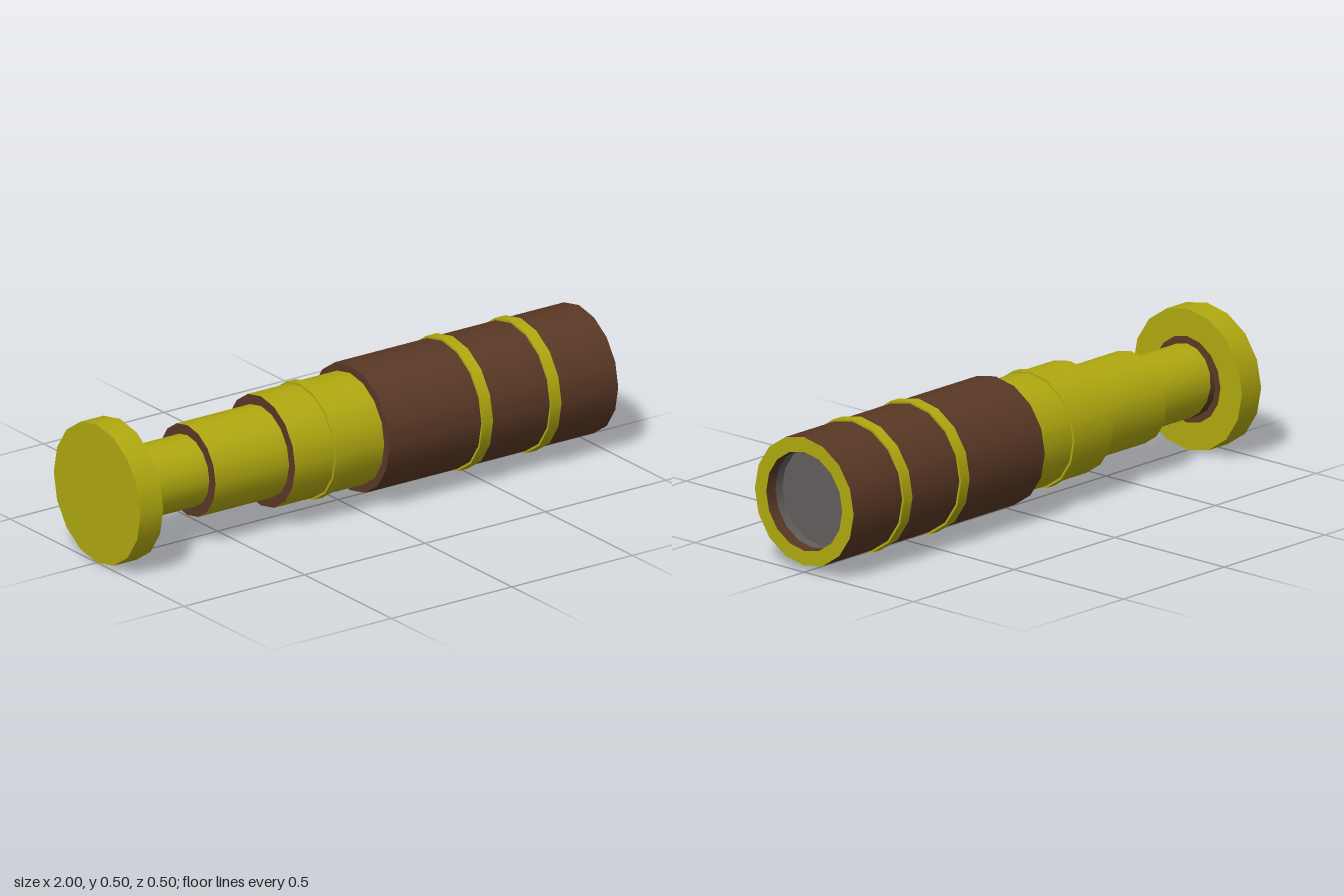
import * as THREE from 'three';

const SIDES = 16;
const AXIS_Y = 0.249;

function material(name, color) {
  const m = new THREE.MeshStandardMaterial({ color, side: THREE.DoubleSide });
  m.name = name;
  return m;
}

export function createModel() {
  const brass = material('brass', 0xb0a910);
  const leather = material('brown leather', 0x5a3825);
  const glass = material('grey glass', 0x625e5c);

  const model = new THREE.Group();
  model.name = 'spyglass';

  const add = (name, geometry, mat) => {
    const mesh = new THREE.Mesh(geometry, mat);
    mesh.name = name;
    mesh.position.y = AXIS_Y;
    model.add(mesh);
    return mesh;
  };

  // Open tube along x from x0 to x1
  const tube = (name, x0, x1, r, mat) => {
    const g = new THREE.CylinderGeometry(r, r, x1 - x0, SIDES, 1, true);
    g.rotateZ(-Math.PI / 2).translate((x0 + x1) / 2, 0, 0);
    return add(name, g, mat);
  };

  // Flat ring or disc across the axis; dir is +1 or -1 along x
  const face = (name, x, inner, outer, dir, mat) => {
    const g = inner > 0
      ? new THREE.RingGeometry(inner, outer, SIDES)
      : new THREE.CircleGeometry(outer, SIDES);
    g.rotateY(dir * Math.PI / 2).translate(x, 0, 0);
    return add(name, g, mat);
  };

  // Eyepiece flange
  tube('eyepieceRim', -1, -0.905, 0.249, brass);
  face('eyepieceEnd', -1, 0, 0.249, -1, brass);
  face('eyepieceInnerFace', -0.905, 0.12, 0.249, 1, brass);
  face('eyepieceSeat', -0.903, 0.12, 0.152, 1, leather);

  // Slanted collar where the thin tube meets the eyepiece
  const collar = tube('eyepieceCollar', -0.905, -0.88, 0.1275, leather);
  const p = collar.geometry.attributes.position;
  for (let i = 0; i < p.count; i++) {
    if (p.getX(i) > -0.89) p.setX(i, -0.88 - 0.16 * p.getY(i));
  }

  // Telescoping draw tubes, each with a dark shoulder
  tube('smallDrawTube', -0.905, -0.62, 0.126, brass);
  tube('middleDrawTube', -0.625, -0.315, 0.162, brass);
  face('middleShoulder', -0.625, 0.125, 0.162, -1, leather);
  tube('largeDrawTube', -0.32, 0.05, 0.197, brass);
  face('largeShoulder', -0.32, 0.16, 0.197, -1, leather);

  // Main barrel
  tube('barrel', 0.05, 1, 0.226, leather);
  face('barrelShoulder', 0.05, 0.195, 0.226, -1, leather);

  // Raised brass rings
  const bands = [
    ['drawTubeRing', -0.157, -0.12, 0.205, 0.19],
    ['rearBand', 0.432, 0.475, 0.234, 0.22],
    ['frontBand', 0.716, 0.759, 0.234, 0.22],
  ];
  for (const [name, x0, x1, r, inner] of bands) {
    tube(name, x0, x1, r, brass);
    face(name + 'Rear', x0, inner, r, -1, brass);
    face(name + 'Front', x1, inner, r, 1, brass);
  }

  // Open front end with a recessed lens
  face('frontRim', 1, 0.174, 0.226, 1, brass);
  tube('frontBore', 0.955, 1, 0.174, leather);
  tube('lensMount', 0.92, 0.955, 0.174, glass);
  face('lens', 0.92, 0, 0.174, 1, glass);

  return model;
}
